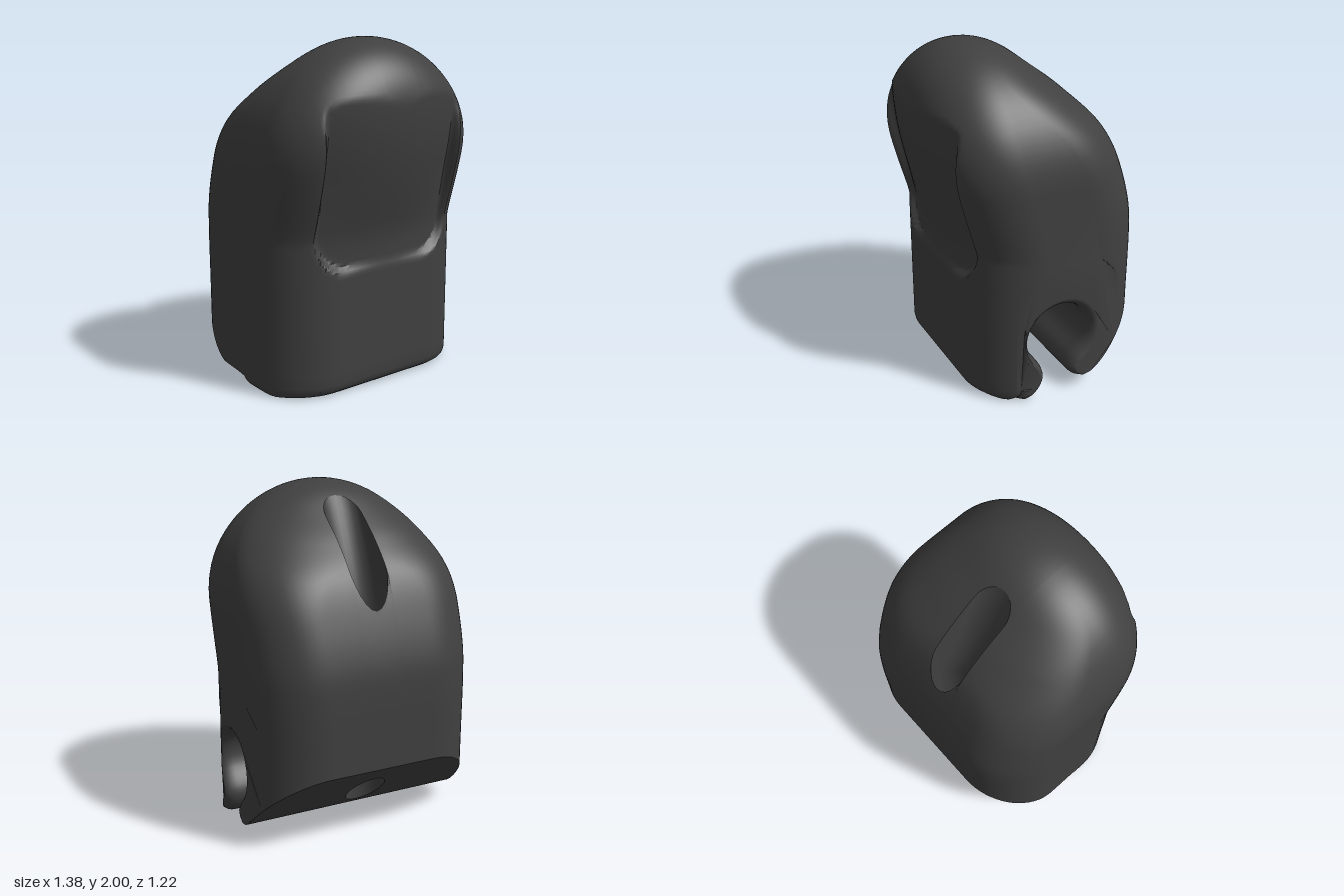
import * as THREE from 'three';
import { toCreasedNormals } from 'three/addons/utils/BufferGeometryUtils.js';

const { clamp, lerp, smoothstep } = THREE.MathUtils;
const material = new THREE.MeshStandardMaterial({ color: 0x404040, side: THREE.DoubleSide });

const HALF = 0.69, ARCH_Y = 1.31;                  // arch-shaped front outline
const R = 0.37, FLAT = HALF - R;                   // large edge rounding, half width of the flat
const FRONT = 0.465, BACK = -0.605;                // depth of the base
const HOLE = { r: 0.115, z: -0.385, slotZ: -0.105 }; // cord tunnel and its slotted mouth
const CHANNEL_END = -0.45;                         // blind end of the cross channel
const SLOT_ROWS = 12;

// Curve helpers; points are [z, y]
const spline = (pts) => new THREE.CatmullRomCurve3(pts.map(([z, y]) => new THREE.Vector3(0, y, z)));
const sample = (curve, a, b, n) => Array.from({ length: n + 1 }, (_, i) => {
  const p = curve.getPoint(lerp(a, b, i / n));
  return [p.z, p.y];
});
function interp(pairs, k) {
  const i = clamp(pairs.findIndex((p) => p[0] >= k), 1, pairs.length - 1);
  const [a, b] = [pairs[i - 1], pairs[i]];
  return lerp(a[1], b[1], clamp((k - a[0]) / (b[0] - a[0] || 1), 0, 1));
}
function solve(fn, target) {
  const dir = Math.sign(fn(1) - fn(0));
  let a = 0, b = 1;
  for (let i = 0; i < 30; i++) {
    const m = (a + b) / 2;
    if ((fn(m) - target) * dir < 0) a = m; else b = m;
  }
  return (a + b) / 2;
}

// Curved back before edge rounding, as depth by height
const backTable = sample(spline([[BACK, 0.05], [BACK, 0.5], [BACK, 0.89], [-0.592, 1.05], [-0.525, 1.29],
  [-0.42, 1.53], [-0.272, 1.71], [-0.157, 1.865], [-0.125, 2.01]]), 0, 1, 160).map(([z, y]) => [y, z]);

// Slanted underside, from the back edge to the channel's rear lip
const slantCurve = spline([[-0.61, 0.464], [-0.5, 0.357], [-0.39, 0.251], [-0.286, 0.15], [-0.22, 0.097],
  [-0.155, 0.07]]);
const slantTable = sample(slantCurve, 0, 1, 60);
const slantParam = (z) => solve((t) => slantCurve.getPoint(t).z, z);

// Keyhole channel: rear lip, round bore, front lip
const arc = Array.from({ length: 25 }, (_, i) => {
  const a = lerp(-0.73, 3.87, i / 24);
  return [-0.195 * Math.cos(a), 0.39 + 0.195 * Math.sin(a)];
});
const keyhole = [
  ...sample(spline([[-0.155, 0.07], [-0.105, 0.08], [-0.073, 0.13], [-0.09, 0.19], arc[0]]), 0, 1, 12),
  ...arc.slice(1, -1),
  ...sample(spline([arc[24], [0.1, 0.19], [0.088, 0.13], [0.115, 0.06], [0.165, 0.012], [0.22, 0]]), 0, 1, 12),
];

const quarter = (t) => 1 - Math.sqrt(1 - clamp(t, 0, 1) ** 2);   // quarter-round drop, 0 to 1
const archTop = (x) => ARCH_Y + Math.sqrt(Math.max(0, HALF * HALF - x * x));

// Depth lost to the edge rounding at (x, y)
const fillet = (x, y) => R * quarter((Math.hypot(x, Math.max(0, y - ARCH_Y)) - FLAT) / R);

// Beside the channel mouth the outline stops part way round the corner
const outlineX = (x, y) => (x <= FLAT ? x : lerp(FLAT + (x - FLAT) * 0.889, x, smoothstep(y, 0.62, 0.85)));

// Side surface of the body where the channel breaks through
function cornerX(z) {
  const t = Math.max(z - FRONT + R, BACK + R - z, 0);
  return FLAT + Math.sqrt(R * R - t * t);
}

const backZ = (x, y) => interp(backTable, y) + fillet(outlineX(x, y), y);

// Brow line above the front panel
const browY = (x) => Math.min(1.7, archTop(x) - 0.18);

// Front face: leaning body with a bowed panel cut into it
function frontZ(x, y) {
  const u = (y - 0.9) / 0.8;
  const t = Math.min(1, (u + Math.sqrt(u * u + 0.01)) / 2);
  const lean = 0.45 + 0.167 * Math.sin(t * Math.PI / 2);
  const body = Math.max(FRONT, lean) - fillet(outlineX(x, y), y);
  if (y > browY(x) + 1e-6) return body;
  const bow = lerp(0.06, 0.1, smoothstep(y, 0.8, 1.3)) * (x / 0.45) ** 2;
  const d = Math.hypot(Math.max(Math.abs(x) - 0.27, 0), Math.max(0.93 - y, 0)) - 0.17;
  return lerp(Math.min(body, lean - bow), body, smoothstep(d, 0, 0.05));
}

// Point on the back of the section at x; u runs from the crown to the slanted underside
function backAt(x, u) {
  const top = archTop(x), end = interp(slantTable, backZ(x, 0.3));
  const y = lerp(top, end, u * u);
  return new THREE.Vector3(outlineX(x, y), y, backZ(x, y));
}
const backParam = (x, z) => solve((u) => backAt(x, u).z, z);

// Channel outline at x, flared at its open mouth, flattened beyond its blind end
function channelRows(x, open) {
  const n = keyhole.length - 1;
  const flare = 0.055 * quarter((x - 0.6) / 0.09);
  return keyhole.map(([z, y], i) => {
    const f = i / n;
    if (!open) return [lerp(-0.155, 0.22, f), Math.max(0, 0.07 * (1 - 1.47 * f))];
    const a = keyhole[Math.max(i - 1, 0)], b = keyhole[Math.min(i + 1, n)];
    const dz = b[0] - a[0], dy = b[1] - a[1], len = Math.hypot(dz, dy);
    const e = flare * Math.min(1, 6 * f, 6 * (1 - f)) / len;
    return [z - dy * e, y + dz * e];
  });
}

const gaps = new Set();                            // rows left open for the tunnel

// Closed section of the body at x: back, underside, channel, base, front
function section(x, open) {
  const s = Math.sqrt(Math.max(0, HOLE.r ** 2 - x * x));
  const pts = [];
  const add = (n, at, gap) => {
    for (let i = pts.length ? 1 : 0; i <= n; i++) {
      if (gap) gaps.add(pts.length - 1);
      pts.push(at(i / n));
    }
  };
  const back = (a, b) => (t) => backAt(x, lerp(a, b, t));
  const inner = Math.min(Math.abs(x), HOLE.r);
  const u1 = backParam(inner, HOLE.slotZ + s), u2 = backParam(inner, HOLE.z - s);
  add(28, back(0, u1));
  add(SLOT_ROWS, back(u1, u2), true);
  add(24, back(u2, 1));

  const v0 = slantParam(backZ(x, 0.3));
  const v1 = Math.max(v0, slantParam(HOLE.z - s)), v2 = Math.max(v0, slantParam(HOLE.z + s));
  const slant = (a, b) => (t) => {
    const p = slantCurve.getPoint(lerp(a, b, t));
    return new THREE.Vector3(Math.min(x, cornerX(p.z)), p.y, p.z);
  };
  add(10, slant(v0, v1));
  add(4, slant(v1, v2), true);
  add(10, slant(v2, 1));

  const fixed = open ? 0.22 : 0, squeeze = (frontZ(x, 0.1) - fixed) / (FRONT - fixed);
  const fit = (z) => (z > fixed ? fixed + (z - fixed) * squeeze : z);
  for (const [z, y] of channelRows(x, open).slice(1)) {
    pts.push(new THREE.Vector3(Math.min(x, cornerX(z)), y, fit(z)));
  }
  for (const [z, y] of [[0.31, 0], [0.4, 0], [0.425, 0.006], [0.448, 0.022], [0.46, 0.042]]) {
    pts.push(new THREE.Vector3(outlineX(x, y), y, fit(z)));
  }
  const front = (y) => new THREE.Vector3(outlineX(x, y), y, frontZ(x, y));
  const top = archTop(x), brow = browY(x);
  for (let i = 0; i <= 8; i++) pts.push(front(lerp(0.065, 0.62, i / 8)));
  add(48, (t) => front(lerp(0.62, brow, t)));
  add(18, (t) => front(lerp(top, brow, (1 - t) ** 2)));
  pts.push(pts[0].clone());

  // Rounded lower side edges
  const lift = 0.07 * quarter((Math.abs(x) - 0.62) / 0.07);
  for (const p of pts) if (p.y < 0.3) p.y += lift * (1 - p.y / 0.3) * clamp((p.z + 0.2) / 0.2, 0, 1);
  return pts;
}

// Skins a list of equal-length point rows
function skin(rings, skip = () => false) {
  const tris = [];
  for (let i = 0; i + 1 < rings.length; i++) {
    for (let j = 0; j + 1 < rings[i].length; j++) {
      if (skip(i, j)) continue;
      const a = rings[i][j], b = rings[i + 1][j], c = rings[i + 1][j + 1], d = rings[i][j + 1];
      tris.push([a, b, c], [a, c, d]);
    }
  }
  return tris;
}

// Side face closing the last section
function cap(ring, side) {
  const contour = ring.map((p) => new THREE.Vector2(p.z, p.y));
  return THREE.ShapeUtils.triangulateShape(contour, []).map(([i, j, k]) => {
    const [a, b, c] = [ring[i], ring[j], ring[k]];
    const nx = (b.y - a.y) * (c.z - a.z) - (b.z - a.z) * (c.y - a.y);
    return nx * side > 0 ? [a, b, c] : [a, c, b];
  });
}

function mesh(name, tris, crease) {
  const solid = tris.filter((t) => new THREE.Triangle(...t).getArea() > 1e-9);
  let geometry = new THREE.BufferGeometry().setFromPoints(solid.flat());
  geometry.scale(20, 20, 20);                      // finer vertex matching while creasing
  geometry = toCreasedNormals(geometry, crease);
  geometry.scale(0.05, 0.05, 0.05);
  const m = new THREE.Mesh(geometry, material);
  m.name = name;
  return m;
}

function buildBody() {
  const half = [1, 2, 3, 4, 5, 6].map((k) => HOLE.r * Math.sin(k * Math.PI / 12));
  half.push(0.16, 0.2, 0.24, 0.28, 0.32, 0.35, 0.38, 0.4, 0.42, 0.435, 0.443, 0.45, 0.458, 0.466, 0.475, 0.485,
    0.5, 0.53, 0.56, 0.59, 0.61, 0.63, 0.65, 0.665, 0.677, 0.685, 0.689, HALF);
  const columns = [];
  for (const x of [...half.map((v) => -v).reverse(), 0, ...half]) {
    if (x <= CHANNEL_END) columns.push({ x, ring: section(x, false) });
    if (x >= CHANNEL_END) columns.push({ x, ring: section(x, true) });
  }
  const rings = columns.map((c) => c.ring);
  const inHole = (i) => Math.abs(columns[i].x) < HOLE.r + 1e-4;
  const tris = skin(rings, (i, j) => gaps.has(j) && inHole(i) && inHole(i + 1));
  tris.push(...cap(rings[0], -1), ...cap(rings[rings.length - 1], 1));
  return mesh('body', tris, 0.65);
}

// Tunnel: long slot at the top of the back narrowing to a round hole in the underside
function buildTunnel() {
  const walls = [];                                // [x, u on back, z on underside]
  const arcWall = (from, to, topZ) => {
    for (let k = 0; k <= 12; k++) {
      const a = lerp(from, to, k / 12), x = HOLE.r * Math.cos(a), z = HOLE.r * Math.sin(a);
      walls.push([x, backParam(x, topZ + z), HOLE.z + z]);
    }
  };
  const uFront = backParam(HOLE.r, HOLE.slotZ), uRear = backParam(HOLE.r, HOLE.z);
  const sideWall = (x, a, b) => {
    for (let k = 1; k < SLOT_ROWS; k++) walls.push([x, lerp(a, b, k / SLOT_ROWS), HOLE.z]);
  };
  arcWall(0, Math.PI, HOLE.slotZ);
  sideWall(-HOLE.r, uFront, uRear);
  arcWall(Math.PI, 2 * Math.PI, HOLE.z);
  sideWall(HOLE.r, uRear, uFront);
  walls.push(walls[0]);
  const ends = walls.map(([x, u, z]) => [backAt(x, u), new THREE.Vector3(x, interp(slantTable, z), z)]);
  const rings = Array.from({ length: 25 }, (_, i) => {
    const t = i / 24, lean = Math.max(0, 1 - t / 0.42) ** 1.3;
    return ends.map(([top, bottom]) => new THREE.Vector3(
      top.x, lerp(top.y, bottom.y, t), lerp(bottom.z, top.z, lean)));
  });
  return mesh('cordTunnel', skin(rings), 0.7);
}

export function createModel() {
  const group = new THREE.Group();
  group.name = 'roundedHousing';
  group.add(buildBody(), buildTunnel());
  return group;
}
